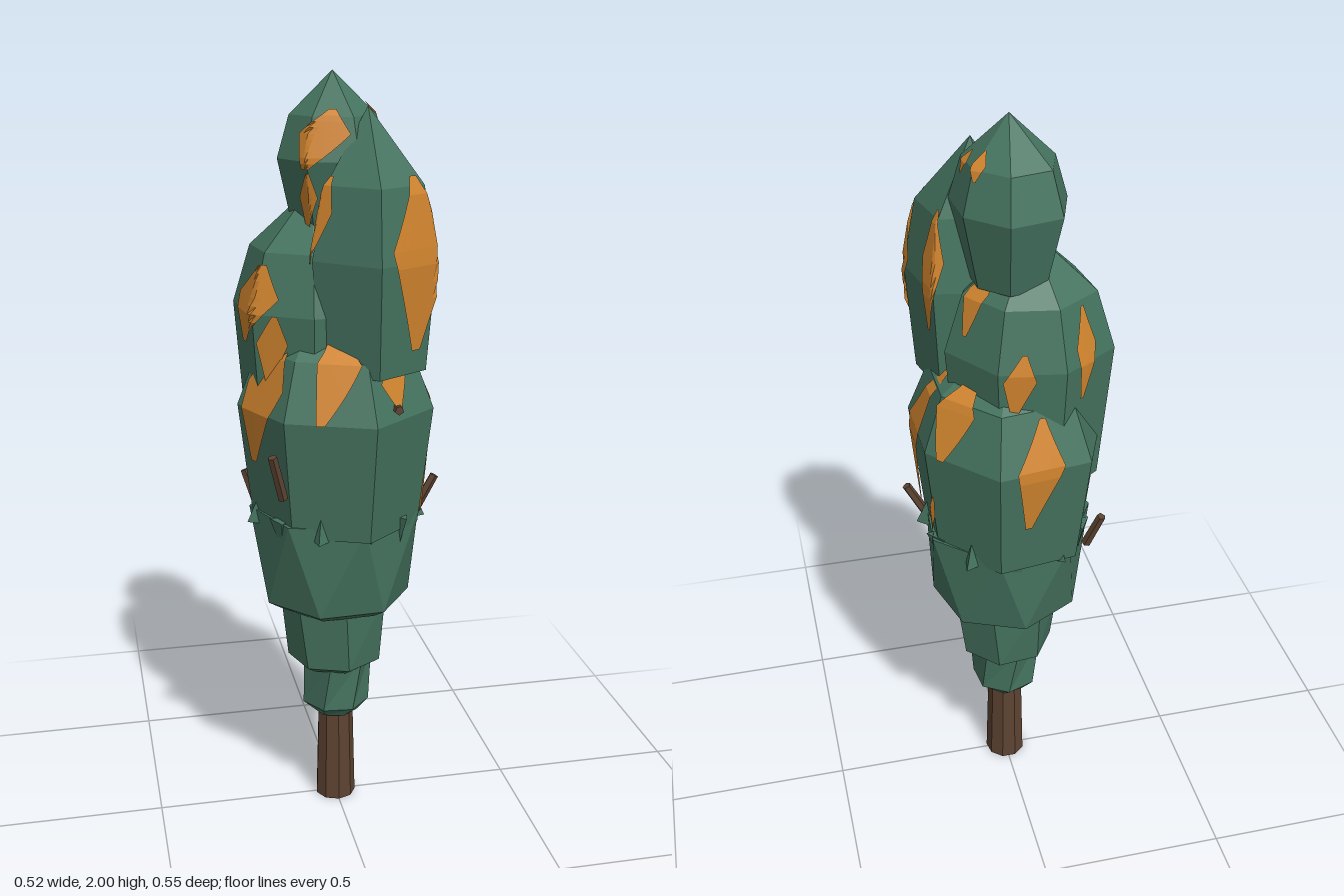
import * as THREE from 'three';

const flat = (color, name, side = THREE.FrontSide) => {
  const m = new THREE.MeshStandardMaterial({ color, flatShading: true, side });
  m.name = name;
  return m;
};

// Flat-shaded grid of quads; point(i, j) runs counter-clockwise in i and upwards in j
function gridGeometry(nu, nv, point) {
  const pos = [];
  for (let j = 0; j < nv; j++) {
    for (let i = 0; i < nu; i++) {
      const a = point(i, j), b = point(i + 1, j), c = point(i + 1, j + 1), d = point(i, j + 1);
      for (const p of [a, b, c, a, c, d]) pos.push(p.x, p.y, p.z);
    }
  }
  const g = new THREE.BufferGeometry();
  g.setAttribute('position', new THREE.Float32BufferAttribute(pos, 3));
  g.computeVertexNormals();
  return g;
}

// Pointed foliage clump, widest at yWide, with its tip at (tipX, yTop, tipZ)
function makeClump(x, z, radius, sides, start, yLow, yWide, yTop, tipX, tipZ, lowWidth = 0.86) {
  const heights = [yLow - 0.005, yLow, yWide, (yWide + yTop) / 2, yTop];
  const widths = [0, lowWidth, 1, 0.78, 0];
  const corner = (i, j) => {
    const k = ((i % sides) + sides) % sides;
    const a = THREE.MathUtils.degToRad(start + (k * 360) / sides);
    const r = radius * widths[j] * (1 + 0.07 * Math.cos(k * 1.7));
    const tip = j === heights.length - 1;
    return new THREE.Vector3((tip ? tipX : x) + r * Math.sin(a), heights[j], (tip ? tipZ : z) + r * Math.cos(a));
  };
  // Point on the faceted skin at an azimuth in degrees and a height, lifted outwards
  const surface = (azimuth, y) => {
    const u = ((azimuth - start) * sides) / 360, i = Math.floor(u);
    let j = 0;
    while (j < heights.length - 2 && heights[j + 1] < y) j++;
    const t = (y - heights[j]) / (heights[j + 1] - heights[j]);
    const p = corner(i, j).lerp(corner(i + 1, j), u - i);
    p.lerp(corner(i, j + 1).lerp(corner(i + 1, j + 1), u - i), t);
    return p.addScaledVector(new THREE.Vector3(p.x - x, 0.03, p.z - z).normalize(), 0.01);
  };
  return { geometry: gridGeometry(sides, heights.length - 1, corner), surface };
}

// Slanted kite of autumn leaves laid over a clump
function patchGeometry(clump, azimuth, half, y0, y1, lean) {
  const rows = 10, cols = 8, widest = 0.6;
  return gridGeometry(cols, rows, (i, j) => {
    const t = j / rows;
    const w = half * (0.15 + 0.85 * (t < widest ? t / widest : (1 - t) / (1 - widest)));
    return clump.surface(azimuth + lean * (t - 0.5) + w * ((2 * i) / cols - 1), y0 + (y1 - y0) * t);
  });
}

export function createModel() {
  const model = new THREE.Group();
  const bark = flat(0x5d4331, 'bark brown');
  const leaf = flat(0x45735f, 'leaf green');
  const autumn = flat(0xd0842e, 'autumn orange', THREE.DoubleSide);
  const add = (name, geometry, material) => {
    const mesh = new THREE.Mesh(geometry, material);
    mesh.name = name;
    model.add(mesh);
    return mesh;
  };

  // Trunk
  add('trunk', new THREE.CylinderGeometry(0.047, 0.056, 0.36, 9), bark).position.y = 0.18;

  // Twig stubs, from base to tip
  const addTwig = (a, b) => {
    const twig = add('twig', new THREE.CylinderGeometry(0.012, 0.013, a.distanceTo(b), 5), bark);
    twig.position.copy(a).lerp(b, 0.5);
    twig.quaternion.setFromUnitVectors(new THREE.Vector3(0, 1, 0), b.clone().sub(a).normalize());
  };
  const at = (x, y, z) => new THREE.Vector3(x, y, z);
  addTwig(at(-0.17, 0.97, 0.18), at(-0.2, 1.09, 0.205));
  addTwig(at(0.205, 0.87, 0.06), at(0.256, 0.965, 0.063));
  addTwig(at(0.11, 1.2, 0.17), at(0.115, 1.2, 0.235));
  addTwig(at(-0.19, 0.84, -0.13), at(-0.222, 0.94, -0.155));

  // Twisted skirts below the main foliage
  const addSkirt = (name, low, high, rLow, rHigh, start, twist) => {
    const g = new THREE.CylinderGeometry(rHigh, rLow, high - low, 7);
    const p = g.attributes.position, v = new THREE.Vector3(), up = new THREE.Vector3(0, 1, 0);
    for (let i = 0; i < p.count; i++) {
      v.fromBufferAttribute(p, i);
      v.applyAxisAngle(up, start + (v.y > 0 ? twist : 0));
      p.setXYZ(i, v.x, v.y, v.z);
    }
    add(name, g, leaf).position.y = (low + high) / 2;
  };
  addSkirt('collar', 0.27, 0.3, 0.065, 0.093, 0.2, 0.15);
  addSkirt('lowestSkirt', 0.3, 0.45, 0.093, 0.102, 0.35, 0.25);
  addSkirt('lowerSkirtHem', 0.42, 0.44, 0.1, 0.13, 0.1, 0);
  addSkirt('lowerSkirt', 0.44, 0.64, 0.13, 0.152, 0.1, -0.1);
  addSkirt('middleSkirtHem', 0.605, 0.63, 0.16, 0.2, 0.5, 0);
  addSkirt('middleSkirt', 0.63, 0.885, 0.2, 0.23, 0.5, -0.35);

  // Foliage clumps; each returned function lays autumn patches on its clump
  const addClump = (name, ...shape) => {
    const clump = makeClump(...shape);
    add(name, clump.geometry, leaf);
    return (...patch) => add('autumnPatch', patchGeometry(clump, ...patch), autumn);
  };

  const mainPatch = addClump('mainFoliage', 0, 0, 0.267, 7, 10, 0.855, 1.17, 1.46, -0.03, 0.01);
  mainPatch(348, 15, 1.17, 1.41, 18);
  mainPatch(292, 20, 1.03, 1.38, 18);
  mainPatch(82, 13, 0.88, 1.39, 30);
  mainPatch(128, 15, 1.17, 1.38, 6);
  mainPatch(112, 3, 0.87, 1.04, 10);
  mainPatch(186, 13, 1, 1.3, 10);
  mainPatch(30, 12, 1.2, 1.31, 0);

  const middlePatch = addClump('middleFoliage', -0.05, -0.03, 0.2, 7, 247, 1.05, 1.42, 1.72, -0.05, -0.04);
  middlePatch(292, 27, 1.34, 1.54, 20);
  middlePatch(215, 10, 1.33, 1.56, 8);
  middlePatch(160, 12, 1.3, 1.47, 8);
  middlePatch(315, 13, 1.24, 1.42, 8);
  middlePatch(110, 12, 1.48, 1.66, 0);

  const frontPatch = addClump('frontFoliage', 0.08, 0.1, 0.157, 5, -7, 1.28, 1.56, 1.92, 0.07, 0.06);
  frontPatch(44, 38, 1.34, 1.76, 6);
  frontPatch(130, 17, 1.45, 1.76, 8);
  frontPatch(283, 14, 1.55, 1.76, 12);

  const crownPatch = addClump('crown', 0, -0.035, 0.146, 7, 14, 1.6, 1.79, 2, 0, -0.03, 0.7);
  crownPatch(334, 30, 1.77, 1.91, 28);
  crownPatch(318, 13, 1.61, 1.76, 10);
  crownPatch(92, 9, 1.87, 1.92, 0);
  crownPatch(125, 10, 1.87, 1.93, 0);

  // Ragged leaf tips where the main foliage meets the skirt
  for (let i = 0; i < 11; i++) {
    const a = (i * Math.PI * 2) / 11 + 0.2, down = i % 2 === 1;
    const tip = add('leafTip', new THREE.ConeGeometry(0.035, 0.08, 3), leaf);
    tip.position.set(0.205 * Math.sin(a), down ? 0.85 : 0.89, 0.205 * Math.cos(a));
    tip.rotation.set(down ? Math.PI : 0, a, 0);
  }
  return model;
}
